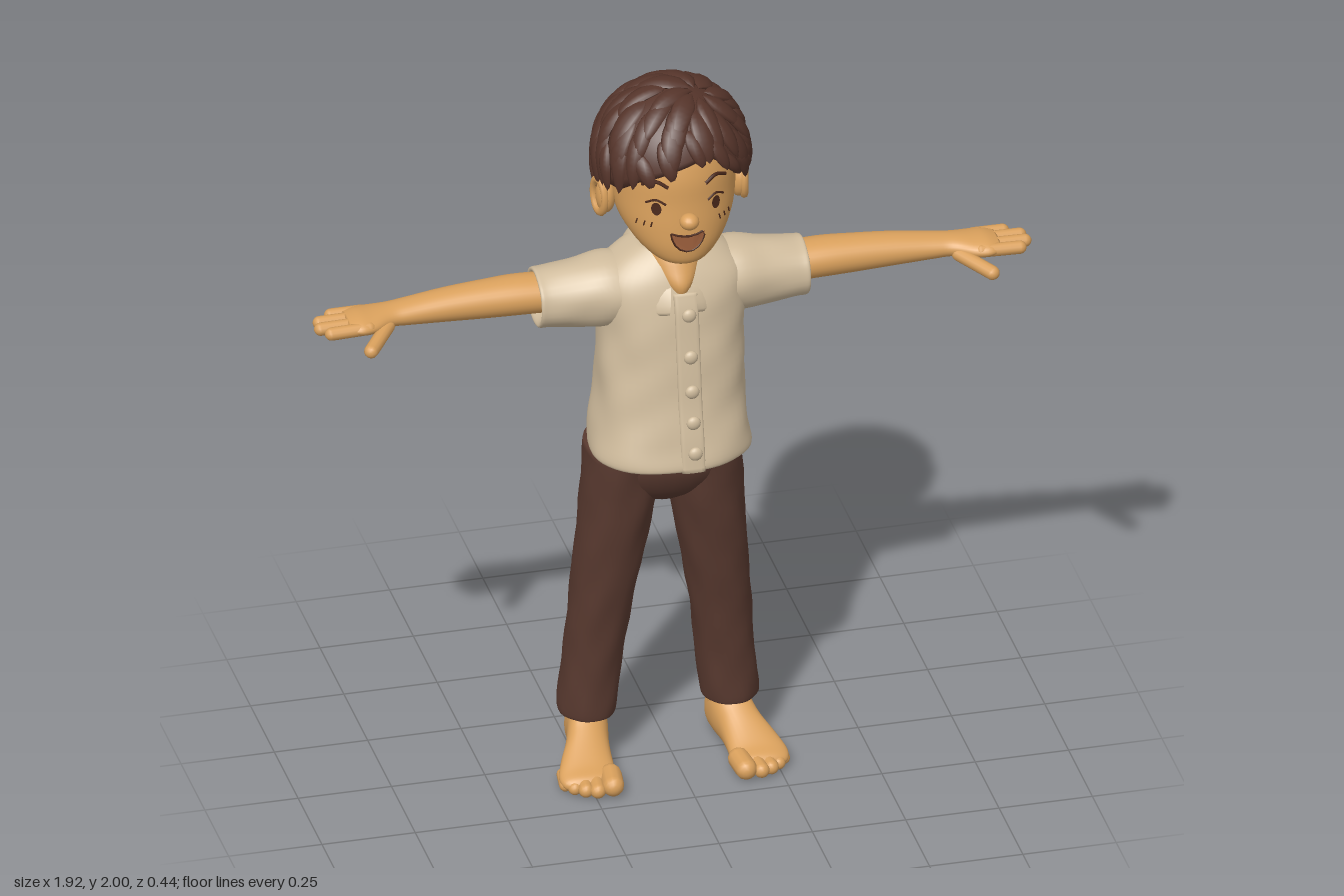
import * as THREE from 'three';
import { mergeGeometries } from 'three/addons/utils/BufferGeometryUtils.js';
import { ParametricGeometry } from 'three/addons/geometries/ParametricGeometry.js';

const V = (x, y, z) => new THREE.Vector3(x, y, z);
const X = V(1, 0, 0), Y = V(0, 1, 0), Z = V(0, 0, 1);
const AXES = { x: [Y, Z], y: [Z, X], z: [X, Y] };

// Smooth interpolation of sections [x, y, z, radiusU, radiusV] at t in 0..1
function sectionAt(S, t) {
  const k = t * (S.length - 1), i = Math.min(Math.floor(k), S.length - 2), f = k - i;
  const g = (n) => S[Math.max(0, Math.min(S.length - 1, n))];
  return S[i].map((_, c) => {
    const p0 = g(i - 1)[c], p1 = g(i)[c], p2 = g(i + 1)[c], p3 = g(i + 2)[c];
    const m1 = (p2 - p0) / 2, m2 = (p3 - p1) / 2, d = p2 - p1;
    return p1 + f * (m1 + f * (3 * d - 2 * m1 - m2 + f * (m1 + m2 - 2 * d)));
  });
}

// Closed skin through rounded sections, with optional squareness and cloth folds
function loft(S, axis, { seg = 32, steps = 5, e = 1, fold = 0 } = {}) {
  const [U, W] = AXES[axis], n = (S.length - 1) * steps, pos = [], idx = [];
  const pw = (v) => Math.sign(v) * Math.abs(v) ** e;
  for (let i = 0; i <= n; i++) {
    const [x, y, z, a, b] = sectionAt(S, i / n), h = x + y + z;
    for (let j = 0; j < seg; j++) {
      const t = (j / seg) * Math.PI * 2;
      const r = 1 + fold * (Math.sin(31 * h + 3 * t) + Math.sin(47 * h - 5 * t + 1) + Math.sin(19 * h + 7 * t)) / 2;
      const p = V(x, y, z).addScaledVector(U, a * r * pw(Math.cos(t))).addScaledVector(W, b * r * pw(Math.sin(t)));
      pos.push(p.x, p.y, p.z);
      const k = (j + 1) % seg, o = i * seg;
      if (i < n) idx.push(o + j, o + k, o + seg + j, o + k, o + seg + k, o + seg + j);
    }
  }
  const c = pos.length / 3;
  pos.push(...S[0].slice(0, 3), ...S[S.length - 1].slice(0, 3));
  for (let j = 0; j < seg; j++) {
    const k = (j + 1) % seg;
    idx.push(c, k, j, c + 1, n * seg + j, n * seg + k);
  }
  const geo = new THREE.BufferGeometry();
  geo.setAttribute('position', new THREE.Float32BufferAttribute(pos, 3));
  geo.setIndex(idx);
  geo.computeVertexNormals();
  return geo;
}

// Front surface of an upright loft
function frontZ(S, x, y) {
  let best = S[0];
  for (let i = 0; i <= 200; i++) {
    const s = sectionAt(S, i / 200);
    if (Math.abs(s[1] - y) < Math.abs(best[1] - y)) best = s;
  }
  return best[2] + best[3] * Math.sqrt(Math.max(0, 1 - ((x - best[0]) / best[4]) ** 2));
}

function capsule(a, b, r) {
  const d = b.clone().sub(a), geo = new THREE.CapsuleGeometry(r, d.length(), 5, 12);
  geo.applyQuaternion(new THREE.Quaternion().setFromUnitVectors(Y, d.normalize()));
  return geo.translate((a.x + b.x) / 2, (a.y + b.y) / 2, (a.z + b.z) / 2);
}
const ball = (x, y, z, a, b, c) => new THREE.SphereGeometry(1, 18, 12).scale(a, b, c).translate(x, y, z);

function mirrored(geo) {
  const g = geo.clone().scale(-1, 1, 1), ix = g.index;
  for (let i = 0; i < ix.count; i += 3) {
    const a = ix.getX(i);
    ix.setX(i, ix.getX(i + 1));
    ix.setX(i + 1, a);
  }
  return g;
}

export function createModel() {
  const mat = (name, color, side = THREE.FrontSide) => {
    const m = new THREE.MeshStandardMaterial({ color, side });
    m.name = name;
    return m;
  };
  const skin = mat('skin', 0xd9a05c), cloth = mat('cream cloth', 0xd0bc9d, THREE.DoubleSide);
  const trouser = mat('brown trousers', 0x58392f), hairMat = mat('dark brown hair', 0x55342a, THREE.DoubleSide);
  const dark = mat('dark features', 0x4a281a, THREE.DoubleSide), mouthMat = mat('mouth', 0x9c5f3c, THREE.DoubleSide);

  const model = new THREE.Group();
  const group = (name) => { const g = new THREE.Group(); g.name = name; model.add(g); return g; };
  const add = (parent, name, geo, m) => {
    const mesh = new THREE.Mesh(geo, m);
    mesh.name = name;
    parent.add(mesh);
  };
  const both = (parent, name, geo, m) => {
    add(parent, name + 'Left', geo, m);
    add(parent, name + 'Right', mirrored(geo), m);
  };

  // Trousers and bare feet
  const legs = group('legs');
  legs.position.x = -0.026;
  add(legs, 'hips', loft([[0, .79, 0, .06, .06], [0, .83, 0, .105, .15], [.005, .9, .005, .13, .2], [.01, .99, .005, .13, .2]], 'y', { e: .9 }), trouser);
  both(legs, 'trouserLeg', loft([[.19, .155, -.045, .06, .055], [.19, .138, -.045, .08, .07], [.19, .16, -.045, .087, .077],
    [.178, .28, -.04, .086, .077], [.164, .42, -.03, .09, .08], [.142, .6, -.015, .1, .088], [.117, .8, -.003, .115, .098], [.107, .95, .005, .125, .098]],
  'y', { fold: .022, e: .92 }), trouser);
  both(legs, 'foot', loft([[.188, .04, -.132, .012, .012], [.188, .052, -.115, .04, .046], [.188, .075, -.08, .053, .075], [.192, .08, -.03, .055, .08],
    [.205, .062, .02, .058, .062], [.22, .045, .07, .068, .045], [.23, .03, .12, .076, .03], [.228, .024, .155, .07, .022], [.226, .02, .17, .04, .012]], 'z', { e: .9 }), skin);
  both(legs, 'ankle', capsule(V(.19, .08, -.055), V(.19, .2, -.05), .054), skin);
  for (let i = 0; i < 5; i++) {
    const r = [.029, .021, .02, .018, .017][i], x = [.178, .219, .248, .273, .292][i], z = [.187, .19, .178, .158, .134][i];
    both(legs, 'toe' + (i + 1), capsule(V(x - .006, r + .004, z - .05), V(x, r, z), r), skin);
  }

  // Shirt body
  const shirt = group('shirt');
  const torso = [[-.015, .985, .015, .14, .18], [-.015, .948, .025, .172, .203], [-.015, .96, .026, .182, .212], [-.013, 1.02, .018, .174, .206],
    [-.01, 1.1, .008, .164, .198], [-.006, 1.2, .001, .156, .193], [-.003, 1.3, -.005, .146, .192], [0, 1.39, -.01, .136, .195],
    [0, 1.45, -.016, .12, .195], [0, 1.495, -.022, .1, .15], [0, 1.53, -.028, .078, .09]];
  add(shirt, 'shirtBody', loft(torso, 'y', { seg: 48, e: .84, fold: .014 }), cloth);
  both(shirt, 'sleeve', loft([[.08, 1.4, -.02, .085, .1], [.17, 1.397, -.022, .1, .105], [.25, 1.393, -.025, .09, .095], [.33, 1.39, -.028, .08, .088],
    [.358, 1.39, -.028, .078, .086], [.357, 1.39, -.028, .066, .074], [.335, 1.395, -.03, .054, .06]], 'x', { fold: .015 }), cloth);

  // Button placket and buttons
  const placket = [.945, 1.03, 1.12, 1.21, 1.3, 1.38, 1.43].map((y) => [.008, y, frontZ(torso, 0, y), .009, .032]);
  add(shirt, 'placket', loft(placket, 'y', { seg: 16, e: .5 }), cloth);
  for (const y of [1, 1.08, 1.165, 1.26, 1.375])
    add(shirt, 'button', ball(.012, y, frontZ(torso, 0, y) + .01, .019, .019, .012), cloth);

  // Folded collar, open at the front
  const collar = new ParametricGeometry((u, v, p) => {
    const a = (u * 2 - 1) * 2.86, q = v * Math.PI * 2, s = .5 - .5 * Math.cos(q);
    const ends = Math.max(0, 1 - Math.abs(Math.abs(a) - 2.55) / .5);
    const r = .095 + .042 * s, z = -Math.cos(a) * (r + .006);
    p.set(Math.sin(a) * r, 1.5 - .5 * z - s * (.042 + .025 * ends) + .009 * Math.sin(q), z + .009 * Math.sin(q) - .004);
  }, 48, 12);
  collar.computeVertexNormals();
  add(shirt, 'collar', collar, cloth);

  // Arms with open hands
  const arms = group('arms');
  both(arms, 'arm', loft([[.28, 1.4, -.03, .05, .06], [.4, 1.403, -.034, .052, .062], [.5, 1.403, -.032, .049, .056], [.6, 1.402, -.03, .043, .051],
    [.7, 1.4, -.025, .034, .046], [.75, 1.4, -.02, .029, .046], [.8, 1.4, -.008, .027, .062], [.84, 1.402, -.001, .025, .066], [.872, 1.402, -.002, .016, .055]], 'x'), skin);
  [[-.052, .9], [-.021, .938], [.013, .943], [.045, .922]].forEach(([z, x], i) =>
    both(arms, 'finger' + (i + 1), capsule(V(.82, 1.402, z * .95), V(x, 1.4, z), .0175), skin));
  both(arms, 'thumb', capsule(V(.765, 1.388, .02), V(.832, 1.372, .11), .019), skin);

  // Head, neck and ears
  const head = group('head');
  const skull = [[0, 1.533, .1, .02, .02], [0, 1.548, .098, .067, .066], [0, 1.59, .07, .108, .113], [0, 1.65, .03, .147, .15], [0, 1.72, .005, .166, .165],
    [0, 1.8, -.005, .17, .167], [0, 1.88, -.01, .145, .145], [0, 1.945, -.01, .07, .07]];
  add(head, 'face', loft(skull, 'y', { seg: 40 }), skin);
  add(head, 'neck', loft([[0, 1.41, .045, .065, .02], [0, 1.45, .04, .08, .048], [0, 1.5, .008, .088, .075], [0, 1.56, -.01, .078, .075], [0, 1.66, -.01, .08, .08]], 'y'), skin);
  add(head, 'nose', ball(0, 1.685, frontZ(skull, 0, 1.685) + .014, .026, .022, .026), skin);
  both(head, 'ear', ball(.178, 1.69, .005, .026, .05, .035), skin);
  both(head, 'earRim', new THREE.TorusGeometry(.037, .011, 8, 24).scale(.85, 1.25, 1).rotateY(Math.PI / 2 - .25).translate(.194, 1.69, .003), skin);

  // Painted face: each shape is laid on the skin
  const decal = (shape) => {
    const g = new THREE.ShapeGeometry(shape, 16), p = g.attributes.position;
    for (let i = 0; i < p.count; i++) p.setZ(i, frontZ(skull, p.getX(i), p.getY(i)) + .004);
    g.computeVertexNormals();
    return g;
  };
  const stroke = (pts, r) => new THREE.TubeGeometry(new THREE.CatmullRomCurve3(
    pts.map(([x, y]) => V(x, y, frontZ(skull, x, y) + .002))), 14, r, 6);
  both(head, 'eye', decal(new THREE.Shape().absellipse(.08, 1.715, .012, .018, 0, Math.PI * 2)), dark);
  both(head, 'eyelid', stroke([[.056, 1.728], [.08, 1.74], [.104, 1.729]], .003), dark);
  both(head, 'eyebrow', stroke([[.05, 1.778], [.08, 1.793], [.112, 1.78]], .005), dark);
  for (let i = 0; i < 3; i++)
    both(head, 'cheekMark', stroke([[.09 + i * .016, 1.674], [.093 + i * .016, 1.66]], .002), dark);
  const smile = new THREE.Shape();
  smile.moveTo(-.045, 1.645);
  smile.quadraticCurveTo(0, 1.628, .045, 1.645);
  smile.bezierCurveTo(.04, 1.575, -.04, 1.575, -.045, 1.645);
  add(head, 'mouth', decal(smile), mouthMat);
  add(head, 'mouthOutline', stroke(smile.getPoints(8).map((p) => [p.x, p.y]), .003), dark);

  // Hair: an under-cap cut along the hairline, covered by leaf-shaped locks from the crown
  const line = [[-3.15, 1.6], [-2.1, 1.61], [-1.75, 1.7], [-1.5, 1.745], [-1, 1.75], [-.7, 1.79], [-.2, 1.83], [.3, 1.86], [.7, 1.81],
    [1, 1.75], [1.5, 1.745], [1.75, 1.7], [2.1, 1.61], [3.15, 1.6]];
  const hairline = (a) => {
    const i = Math.max(1, line.findIndex((q) => q[0] >= a)), [a0, y0] = line[i - 1], [a1, y1] = line[i];
    return y0 + (y1 - y0) * (a - a0) / (a1 - a0);
  };
  const onHair = (d, k) => V(d.x * .2 * k, 1.79 + d.y * (d.y > 0 ? .198 : .3) * k, -.01 + d.z * .2 * k);
  const cap = new ParametricGeometry((u, v, p) => {
    const a = Math.PI * (1 - 2 * u), dy = hairline(a) - 1.79;
    const f = Math.acos(dy / (dy > 0 ? .198 : .3)) * Math.min(1, v / .9);
    const d = V(Math.sin(f) * Math.sin(a), Math.cos(f), Math.sin(f) * Math.cos(a));
    const k = v > .9 ? .96 - (v - .9) * 3.2 : .96;
    p.copy(onHair(d, k)).setY(onHair(d, .96).y);
  }, 64, 20);
  cap.computeVertexNormals();
  const hair = group('hair');
  add(hair, 'hairCap', cap, hairMat);

  const crown = V(.3, .94, .15).normalize(), cx = V(0, 0, 1).cross(crown).normalize(), cy = crown.clone().cross(cx);
  const dir = (th, ph) => crown.clone().multiplyScalar(Math.cos(th))
    .addScaledVector(cx, Math.sin(th) * Math.cos(ph)).addScaledVector(cy, Math.sin(th) * Math.sin(ph));
  let seed = 7;
  const rnd = () => (seed = (seed * 16807) % 2147483647) / 2147483647;
  const locks = [];
  for (let row = 0; row < 9; row++) {
    const n = Math.round(7 + 12 * Math.sin(Math.min(2.6, row * .28 + .1)));
    for (let i = 0; i < n; i++) {
      const th0 = .04 + row * .28 + rnd() * .1, ph0 = ((i + (row % 2) / 2 + rnd() * .3) / n) * Math.PI * 2;
      let len = .7 + rnd() * .15;
      const below = () => {
        const q = onHair(dir(th0 + len, ph0 + .3), 1);
        return q.y < hairline(Math.atan2(q.x, q.z + .01)) - .02;
      };
      while (len > .2 && below()) len -= .04;
      if (len <= .24) continue;
      const w = .15 + rnd() * .05, lift = .02 + rnd() * .025;
      const g = new ParametricGeometry((u, v, p) => {
        const q = -v * Math.PI * 2, th = th0 + len * u, half = 1.75 * w * u ** .5 * (1 - u) ** .6;
        const ph = ph0 + .3 * u + half * Math.cos(q) / Math.max(.3, Math.sin(th));
        p.copy(onHair(dir(th, ph), .985 + lift * u + .06 * Math.sin(q) * Math.sin(Math.PI * Math.min(1, u)) ** .6));
      }, 10, 10);
      g.computeVertexNormals();
      locks.push(g);
    }
  }
  add(hair, 'hairLocks', mergeGeometries(locks), hairMat);
  return model;
}
